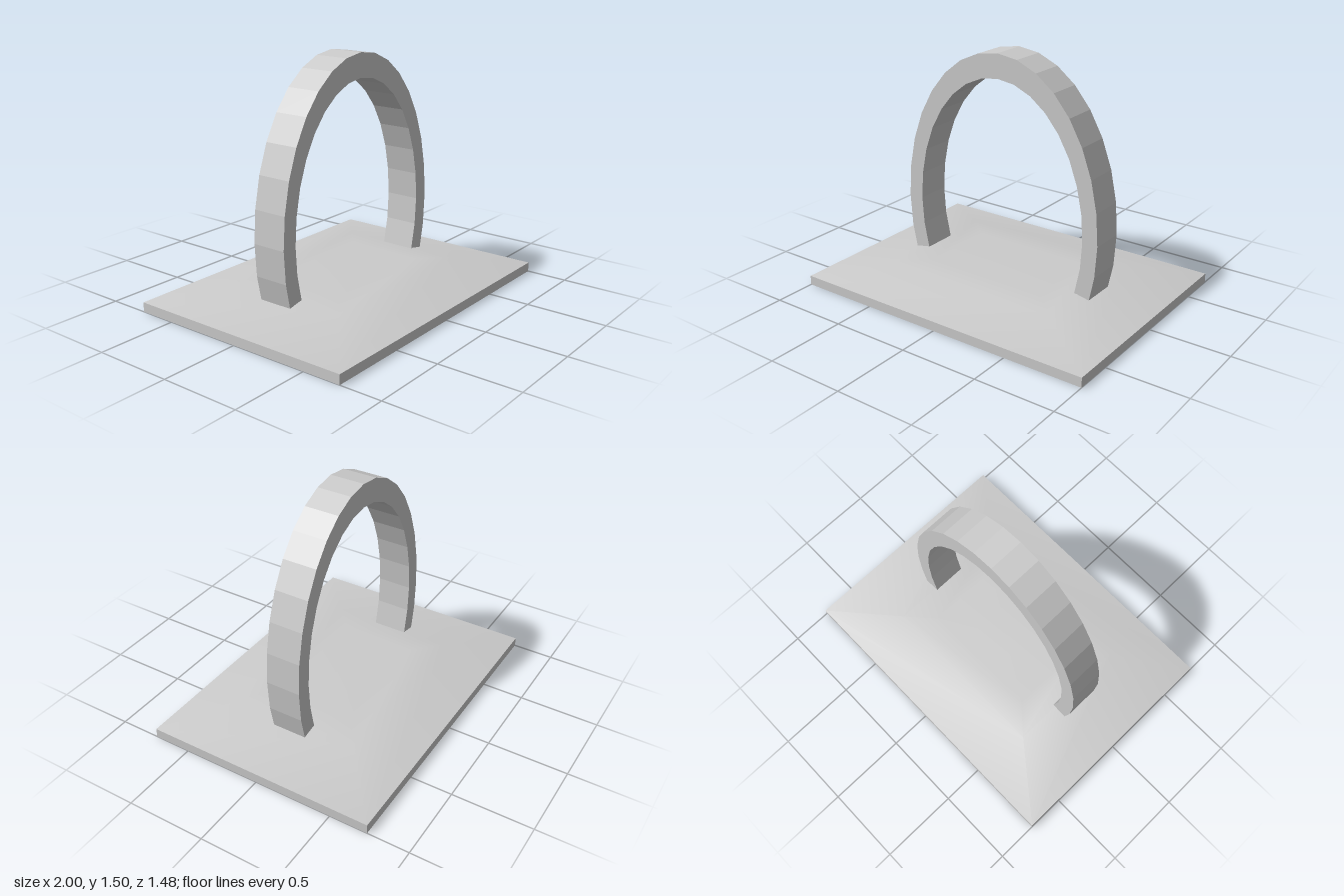
import * as THREE from 'three';

const grey = () => new THREE.MeshStandardMaterial({ color: 0xcccccc });

// Shallow domed top: nested rectangular rings [half width, height, half depth]
function moundGeometry() {
  const rings = [
    [1, 0.06, 0.74],
    [0.57, 0.145, 0.4],
    [0.4, 0.152, 0.25],
  ];
  const corners = [[-1, 1], [1, 1], [1, -1], [-1, -1]];
  const positions = [], index = [];
  for (const [w, y, d] of rings) {
    for (const [sx, sz] of corners) positions.push(sx * w, y, sz * d);
  }
  for (let r = 0; r < rings.length - 1; r++) {
    for (let i = 0; i < 4; i++) {
      const a = r * 4 + i, b = r * 4 + (i + 1) % 4;
      index.push(a, b, b + 4, a, b + 4, a + 4);
    }
  }
  // Crown of the dome
  const last = (rings.length - 1) * 4, centre = positions.length / 3;
  positions.push(0, 0.155, 0);
  for (let i = 0; i < 4; i++) index.push(last + i, last + (i + 1) % 4, centre);

  const geometry = new THREE.BufferGeometry();
  geometry.setAttribute('position', new THREE.Float32BufferAttribute(positions, 3));
  geometry.setIndex(index);
  geometry.computeVertexNormals();
  return geometry;
}

// Faceted elliptical arch, thicker at the crown, feet sunk into the base
function archGeometry() {
  const centreY = 0.48, depth = 0.22, step = Math.PI / 16;
  const angles = [];
  for (let i = -10; i <= 10; i++) angles.push(i * step);
  angles.unshift(-10.25 * step);
  angles.push(10.25 * step);
  const arc = (rx, ry) => angles.map(
    (a) => new THREE.Vector2(Math.sin(a) * rx, centreY + Math.cos(a) * ry));
  const shape = new THREE.Shape([...arc(0.7, 1.025), ...arc(0.6, 0.875).reverse()]);
  const geometry = new THREE.ExtrudeGeometry(shape, { depth, bevelEnabled: false });
  geometry.translate(0, 0, -depth / 2);
  return geometry;
}

export function createModel() {
  const group = new THREE.Group();
  group.name = 'archOnBase';
  const add = (name, geometry, y = 0) => {
    const mesh = new THREE.Mesh(geometry, grey());
    mesh.name = name;
    mesh.position.y = y;
    group.add(mesh);
    return mesh;
  };

  // Base slab; its top face is left out because the dome covers it
  const slab = new THREE.BoxGeometry(2, 0.06, 1.48);
  const faces = Array.from(slab.index.array);
  faces.splice(12, 6);
  slab.setIndex(faces);
  slab.clearGroups();
  add('baseSlab', slab, 0.03);
  add('baseTop', moundGeometry());

  const arch = add('arch', archGeometry());
  arch.material.flatShading = true;
  return group;
}
